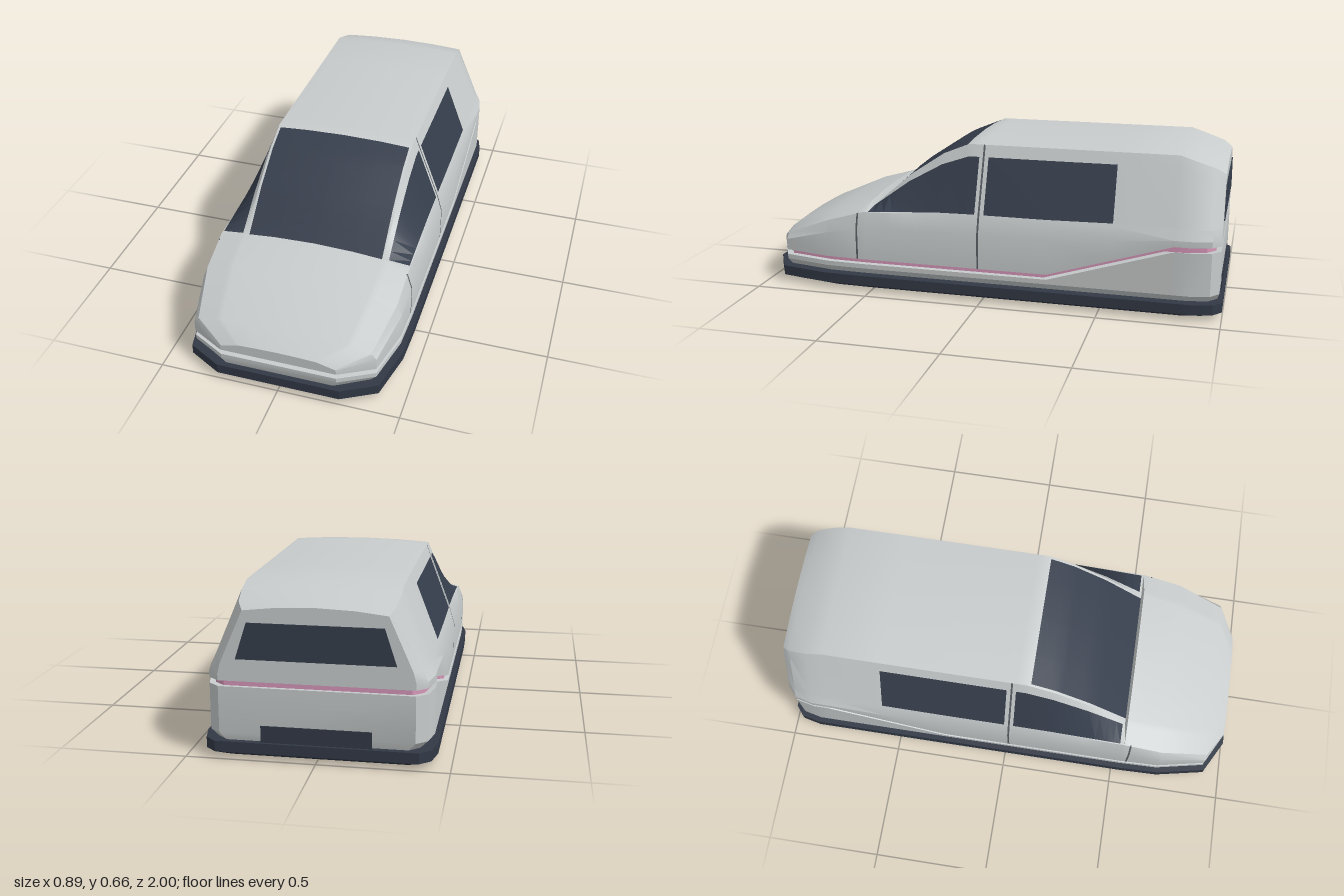
import * as THREE from 'three';
import { toCreasedNormals } from 'three/addons/utils/BufferGeometryUtils.js';

const mat = (name, color) => Object.assign(new THREE.MeshStandardMaterial({ color }), { name });

// Body stations, front to back: z, half width, side top y, shoulder x, y, roof edge x, y, centre y
const STATIONS = [
  [0.985, 0.24, 0.155, 0.235, 0.165, 0.16, 0.185, 0.19],
  [0.91, 0.38, 0.19, 0.36, 0.215, 0.27, 0.235, 0.245],
  [0.70, 0.425, 0.25, 0.405, 0.30, 0.30, 0.325, 0.335],
  [0.53, 0.43, 0.28, 0.41, 0.35, 0.31, 0.372, 0.39],
  [0.52, 0.43, 0.28, 0.41, 0.35, 0.30, 0.353, 0.358],
  [0.35, 0.43, 0.285, 0.41, 0.355, 0.30, 0.50, 0.515],
  [0.20, 0.43, 0.29, 0.41, 0.36, 0.30, 0.60, 0.615],
  [0.08, 0.43, 0.29, 0.41, 0.36, 0.30, 0.65, 0.662],
  [-0.28, 0.43, 0.29, 0.41, 0.36, 0.30, 0.65, 0.664],
  [-0.80, 0.43, 0.33, 0.41, 0.37, 0.30, 0.65, 0.662],
  [-0.87, 0.43, 0.33, 0.41, 0.37, 0.30, 0.627, 0.64],
  [-0.95, 0.412, 0.33, 0.39, 0.37, 0.29, 0.60, 0.613],
  [-0.985, 0.37, 0.33, 0.36, 0.37, 0.27, 0.575, 0.595],
];
// Extra stations for window ends, door seams and a smooth windscreen
const EXTRA = [0.562, 0.554, 0.51, 0.48, 0.44, 0.40, 0.31, 0.27, 0.23, 0.16, 0.12, 0.095,
  0.035, 0.02, 0.012, -0.005, -0.55];

// Height of the lower edge of the stripe groove
const stripeY = (z) => 0.12 + 0.162 * THREE.MathUtils.clamp((-0.28 - z) / 0.52, 0, 1);
const GAP = 0.022;

function stationAt(z) {
  let i = 0;
  while (i < STATIONS.length - 2 && STATIONS[i + 1][0] > z) i++;
  const a = STATIONS[i], b = STATIONS[i + 1], t = (a[0] - z) / (a[0] - b[0]);
  return a.map((v, k) => v + (b[k] - v) * t);
}

// Cross-section of the upper body, from the left sill over the roof to the right sill
function section(z) {
  const [, w, midY, sx, sy, ex, ey, top] = stationAt(z);
  const side = (t) => [sx + (ex - sx) * t, sy + (ey - sy) * t, z];
  const roof = (u) => [ex * u, top - (top - ey) * u * u, z];
  const half = [[w, stripeY(z) + GAP, z], [w, midY, z], side(0), side(0.04), side(0.83),
    side(1), roof(0.965), roof(0.55)];
  return [...half, [0, top, z], ...half.map(([x, y]) => [-x, y, z]).reverse()];
}

// Plan outline of the body, scaled, with its height given by a function of z
function outline(scaleX, scaleZ, height, grow = 0) {
  const left = STATIONS.map((s) => [(s[1] + grow) * scaleX, height(s[0]), s[0] * scaleZ]).reverse();
  return [...left, ...left.map(([x, y, z]) => [-x, y, z]).reverse()];
}

// Skins closed rings and caps both ends; pick(i, j) names the part each quad belongs to
function loft(group, rings, pick, materials) {
  const n = rings[0].length, parts = {};
  const add = (name, ...pts) => (parts[name] ??= []).push(...pts.flat());
  for (let i = 0; i < rings.length - 1; i++) {
    for (let j = 0; j < n; j++) {
      const k = (j + 1) % n;
      const a = rings[i][j], b = rings[i][k], c = rings[i + 1][j], d = rings[i + 1][k];
      add(pick(i, j), a, c, b, b, c, d);
    }
  }
  const first = rings[0], last = rings[rings.length - 1];
  const centre = (r) => [0, 1, 2].map((c) => r.reduce((s, p) => s + p[c], 0) / n);
  const c0 = centre(first), c1 = centre(last), main = Object.keys(materials)[0];
  for (let j = 0; j < n; j++) {
    const k = (j + 1) % n;
    add(main, c0, first[j], first[k]);
    add(main, c1, last[k], last[j]);
  }
  for (const [name, pts] of Object.entries(parts)) {
    const geo = new THREE.BufferGeometry();
    geo.setAttribute('position', new THREE.Float32BufferAttribute(pts, 3));
    const mesh = new THREE.Mesh(toCreasedNormals(geo, 0.45), materials[name]);
    mesh.name = name;
    group.add(mesh);
  }
}

export function createModel() {
  const group = new THREE.Group();
  group.name = 'car';
  const paint = mat('silverPaint', 0xc8cccc);
  const glass = mat('darkGlass', 0x363e4c);
  const trim = mat('darkTrim', 0x323946);
  const seam = mat('seamGrey', 0x5a5e63);
  const pink = mat('pinkStripe', 0xd898ba);

  // Upper body with glazing and door seams
  const zs = [...STATIONS.map((s) => s[0]), ...EXTRA].sort((a, b) => b - a);
  const pick = (i, j) => {
    const z = (zs[i] + zs[i + 1]) / 2, k = Math.min(j, 15 - j);
    if (k >= 6 && z < 0.52 && z > 0.095) return 'windscreen';
    if (k === 3 && ((z < 0.51 && z > 0.035) || (z < -0.005 && z > -0.55))) return 'sideWindows';
    if (k >= 0 && k < 5 && z < 0.02 && z > 0.012) return 'doorSeams';
    if (k >= 0 && k < 3 && z < 0.562 && z > 0.554) return 'doorSeams';
    return 'upperBody';
  };
  loft(group, zs.map(section), pick,
    { upperBody: paint, windscreen: glass, sideWindows: glass, doorSeams: seam });

  // Lower body, below the groove
  loft(group, [
    outline(0.92, 0.99, () => 0.065),
    outline(1, 1, () => 0.1),
    outline(1, 1, stripeY),
  ], () => 'lowerBody', { lowerBody: paint });

  // Recessed stripe inside the groove
  loft(group, [
    outline(0.955, 0.978, (z) => stripeY(z) - 0.01),
    outline(0.955, 0.978, (z) => stripeY(z) + GAP + 0.005),
  ], () => 'stripe', { stripe: pink });

  // Dark skirt under the body
  loft(group, [
    outline(0.87, 0.96, () => 0, 0.015),
    outline(1, 1.015, () => 0.028, 0.015),
    outline(1, 1.015, () => 0.07, 0.015),
  ], () => 'skirt', { skirt: trim });

  // Thin plates on the tail
  const plate = (name, material, bottomX, topX, y0, y1) => {
    const shape = new THREE.Shape([[-bottomX, y0], [bottomX, y0], [topX, y1], [-topX, y1]]
      .map(([x, y]) => new THREE.Vector2(x, y)));
    const geo = new THREE.ExtrudeGeometry(shape, { depth: 0.006, bevelEnabled: false });
    const mesh = new THREE.Mesh(geo, material);
    mesh.name = name;
    mesh.position.z = -0.989;
    group.add(mesh);
  };
  plate('rearWindow', glass, 0.3, 0.255, 0.39, 0.53);
  plate('rearRecess', trim, 0.21, 0.21, 0.07, 0.135);

  return group;
}
